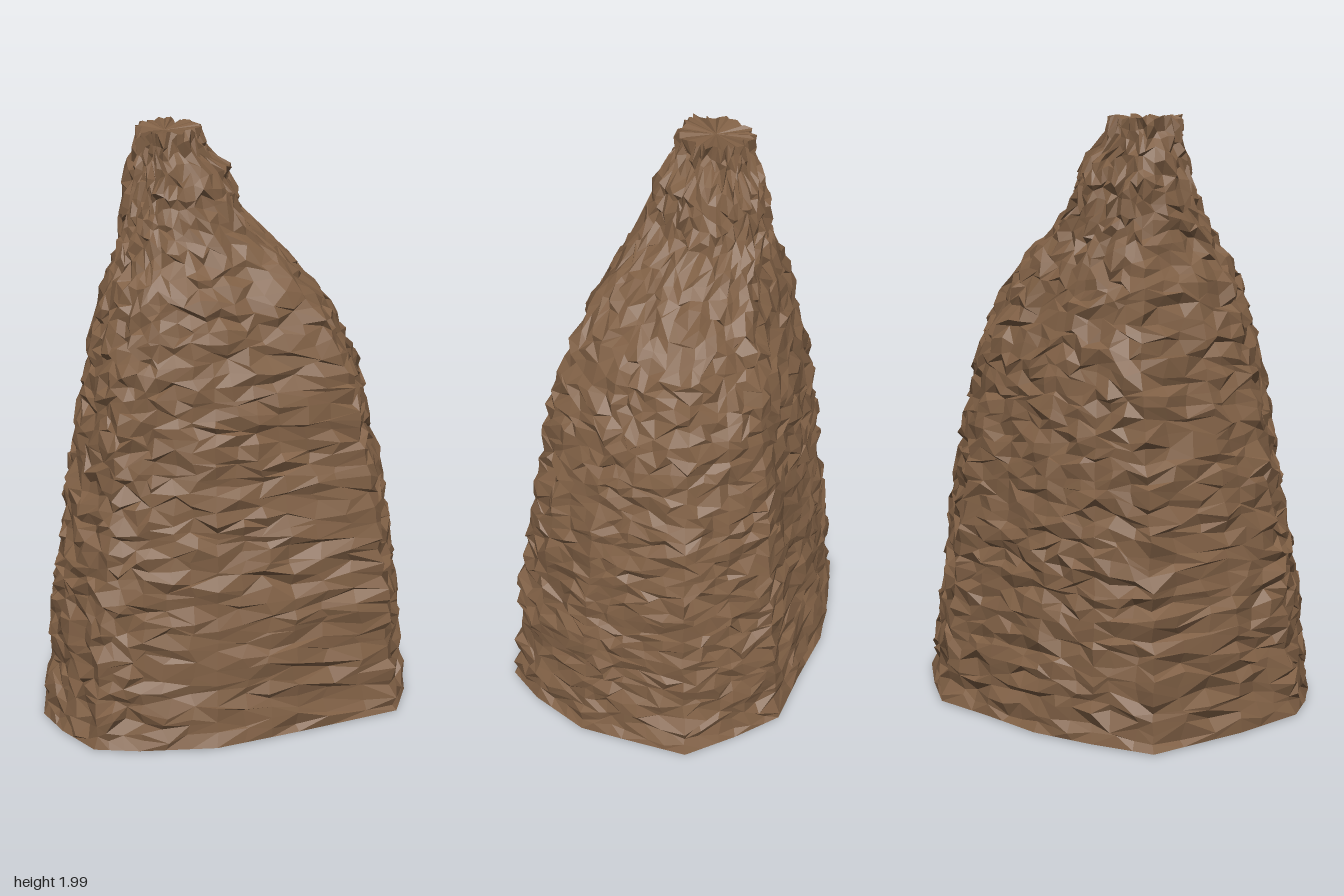
import * as THREE from 'three';

// Small seeded generator so the rock is always the same
function seeded(seed) {
  return () => {
    seed = (seed * 1664525 + 1013904223) % 4294967296;
    return seed / 4294967296;
  };
}

// Footprint of the rock as [x, z], clockwise from the back right corner
const FOOT = [
  [-0.57, -0.34], [-0.37, -0.43], [-0.17, -0.5], [0.05, -0.52], [0.26, -0.55], [0.42, -0.46],
  [0.58, -0.35], [0.63, -0.12], [0.66, 0.03], [0.62, 0.25], [0.56, 0.39], [0.2, 0.48],
  [-0.09, 0.545], [-0.35, 0.53], [-0.5, 0.5], [-0.6, 0.37], [-0.66, 0.25], [-0.64, 0],
];

// Extents at each height: [y, min x, max x, min z, max z]
const LEVELS = [
  [0.01, -0.66, 0.655, -0.545, 0.545], [0.4, -0.62, 0.615, -0.5, 0.515],
  [0.8, -0.565, 0.555, -0.46, 0.46], [1.2, -0.49, 0.46, -0.405, 0.4],
  [1.4, -0.44, 0.365, -0.345, 0.35], [1.5, -0.415, 0.285, -0.305, 0.315],
  [1.6, -0.365, 0.185, -0.255, 0.255], [1.7, -0.345, 0.075, -0.23, 0.205],
  [1.8, -0.33, 0.04, -0.205, 0.175], [1.87, -0.315, 0.02, -0.185, 0.16],
  [1.91, -0.295, -0.055, -0.145, 0.125], [1.99, -0.29, -0.07, -0.14, 0.12],
];

function extentsAt(y) {
  let i = 0;
  while (i < LEVELS.length - 2 && LEVELS[i + 1][0] < y) i++;
  const a = LEVELS[i], b = LEVELS[i + 1];
  const t = THREE.MathUtils.clamp((y - a[0]) / (b[0] - a[0]), 0, 1);
  return a.map((v, k) => THREE.MathUtils.lerp(v, b[k], t));
}

// Footprint scaled to a -1..1 square, with extra points along each edge
function unitOutline(steps) {
  const out = [];
  FOOT.forEach(([x, z], i) => {
    const [nx, nz] = FOOT[(i + 1) % FOOT.length];
    for (let s = 0; s < steps; s++) {
      const t = s / steps;
      out.push([(x + (nx - x) * t) / 0.66, (z + (nz - z) * t) / 0.548]);
    }
  });
  return out;
}

function rockGeometry() {
  const rand = seeded(17);
  const outline = unitOutline(3);
  const n = outline.length, rows = 60, pos = [], index = [];

  // Stacked rings, roughened into short, wide ledges
  for (let r = 0; r <= rows; r++) {
    const y = 0.01 + 1.98 * r / rows;
    const ends = r === 0 || r === rows;
    for (let i = 0; i < n; i++) {
      const py = r === 0 ? y : y + (rand() - 0.5) * (ends ? 0.02 : 0.036);
      const [, x0, x1, z0, z1] = extentsAt(py);
      const [u, v] = outline[i];
      const round = THREE.MathUtils.smoothstep(y, 1.5, 1.85);
      const k = THREE.MathUtils.lerp(1, 1 / Math.hypot(u, v), round);
      const hx = (x1 - x0) / 2, hz = (z1 - z0) / 2;
      let dx = u * k * hx, dz = v * k * hz;
      const len = Math.hypot(dx, dz);
      const bump = r === 0 ? 0 : 0.008 - rand() * 0.034;
      const f = (len + bump) / len;
      // Slide along the ring, less where the ring is small
      const slide = r === 0 ? 0 : (rand() - 0.5) * 0.07 * (i % 3 ? 1 : 0.2);
      [dx, dz] = [dx * f - dz * slide, dz * f + dx * slide];
      pos.push((x0 + x1) / 2 + dx, py, (z0 + z1) / 2 + dz);
    }
  }
  for (let r = 0; r < rows; r++) {
    for (let i = 0; i < n; i++) {
      const j = (i + 1) % n;
      const a = r * n + i, b = r * n + j, c = a + n, d = b + n;
      if (rand() < 0.5) index.push(a, c, b, c, d, b);
      else index.push(a, c, d, a, d, b);
    }
  }

  // Flat underside and slightly sunken tip
  const bottom = pos.length / 3, top = bottom + 1;
  pos.push(0, 0.005, 0, -0.19, 1.98, -0.01);
  for (let i = 0; i < n; i++) {
    const j = (i + 1) % n;
    index.push(bottom, i, j, top, rows * n + j, rows * n + i);
  }

  const indexed = new THREE.BufferGeometry();
  indexed.setAttribute('position', new THREE.Float32BufferAttribute(pos, 3));
  indexed.setIndex(index);
  const geometry = indexed.toNonIndexed();
  geometry.computeVertexNormals();
  return geometry;
}

export function createModel() {
  const brown = new THREE.MeshStandardMaterial({ color: 0x80603f, flatShading: true });
  brown.name = 'earthBrown';
  brown.color.set(0x806045);

  const rock = new THREE.Mesh(rockGeometry(), brown);
  rock.name = 'rockSpire';

  const model = new THREE.Group();
  model.name = 'rockyPeak';
  model.add(rock);
  return model;
}
